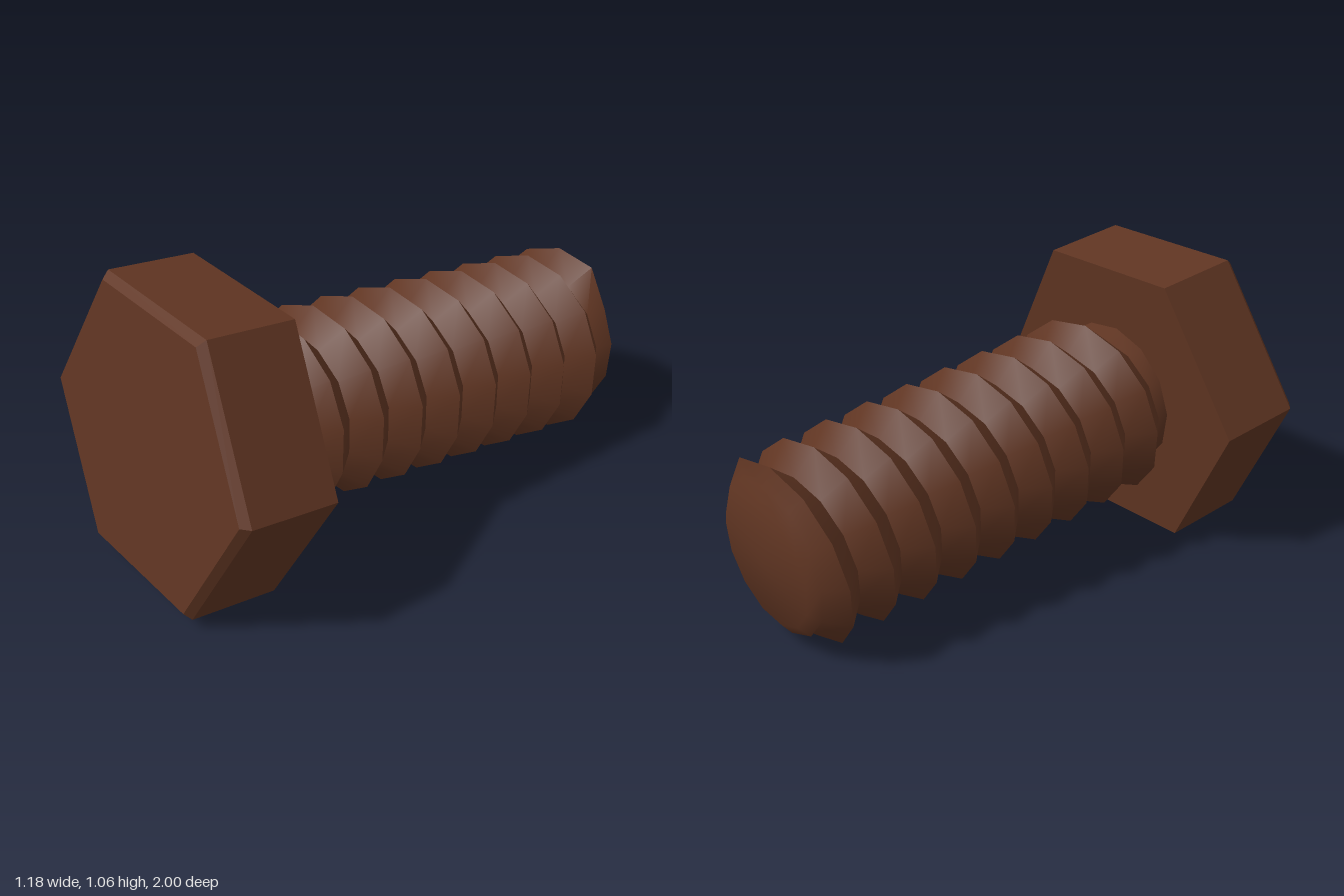
import * as THREE from 'three';
import { toCreasedNormals } from 'three/addons/utils/BufferGeometryUtils.js';

// Threaded shank: rows alternate crest and root along a right-handed helix,
// then close in a shallow dome.
function shankGeometry() {
  const sides = 13, pitch = 0.17, length = 1.545, crest = 0.352, root = 0.272;
  const rows = [];
  for (let k = -2; k <= 20; k++) {
    rows.push((angle) => {
      const s = k * pitch / 2 + pitch * angle / (Math.PI * 2) - 0.006;
      if (s <= 0) return [0, 0.28];
      if (s >= length) return [length, 0.285];
      return [s, k % 2 ? root : Math.min(crest, 0.28 + s * 0.9)];
    });
  }
  rows.push(() => [length, 0.285], () => [1.575, 0.24], () => [1.585, 0]);

  // Angles start at the model's right side and pass over the top.
  const point = (row, j) => {
    const a = (j / sides) * Math.PI * 2 - Math.PI / 2;
    const [s, r] = row(a);
    return new THREE.Vector3(r * Math.sin(a), r * Math.cos(a), -s);
  };
  const positions = [];
  const triangle = (a, b, c) => {
    const area = b.clone().sub(a).cross(c.clone().sub(a)).length();
    if (area > 1e-7) positions.push(...a.toArray(), ...b.toArray(), ...c.toArray());
  };
  for (let i = 0; i < rows.length - 1; i++) {
    for (let j = 0; j < sides; j++) {
      const a = point(rows[i], j), b = point(rows[i], j + 1);
      const c = point(rows[i + 1], j), d = point(rows[i + 1], j + 1);
      triangle(a, b, c);
      triangle(b, d, c);
    }
  }
  const geometry = new THREE.BufferGeometry();
  geometry.setAttribute('position', new THREE.Float32BufferAttribute(positions, 3));
  return toCreasedNormals(geometry, 0.8);
}

// Hexagonal head with a small chamfer around the front face.
function headGeometry() {
  const profile = [[0, 0], [0.588, 0], [0.588, 0.325], [0.56, 0.353], [0, 0.353]]
    .map(([r, h]) => new THREE.Vector2(r, h));
  const geometry = new THREE.LatheGeometry(profile, 6, Math.PI / 2);
  geometry.rotateX(Math.PI / 2);
  return toCreasedNormals(geometry, 0.4);
}

export function createModel() {
  const rust = new THREE.MeshStandardMaterial({ color: 0x603522 });
  rust.name = 'rustBrown';

  const head = new THREE.Mesh(headGeometry(), rust);
  head.name = 'hexHead';
  const shank = new THREE.Mesh(shankGeometry(), rust);
  shank.name = 'threadedShank';

  // The bolt lies on its side, resting on the head's edge and the shank's tip.
  const bolt = new THREE.Group();
  bolt.name = 'bolt';
  bolt.add(head, shank);
  bolt.rotation.x = -0.118;
  bolt.position.set(0, 0.521, 0.595);

  const model = new THREE.Group();
  model.name = 'hexBolt';
  model.add(bolt);
  return model;
}
